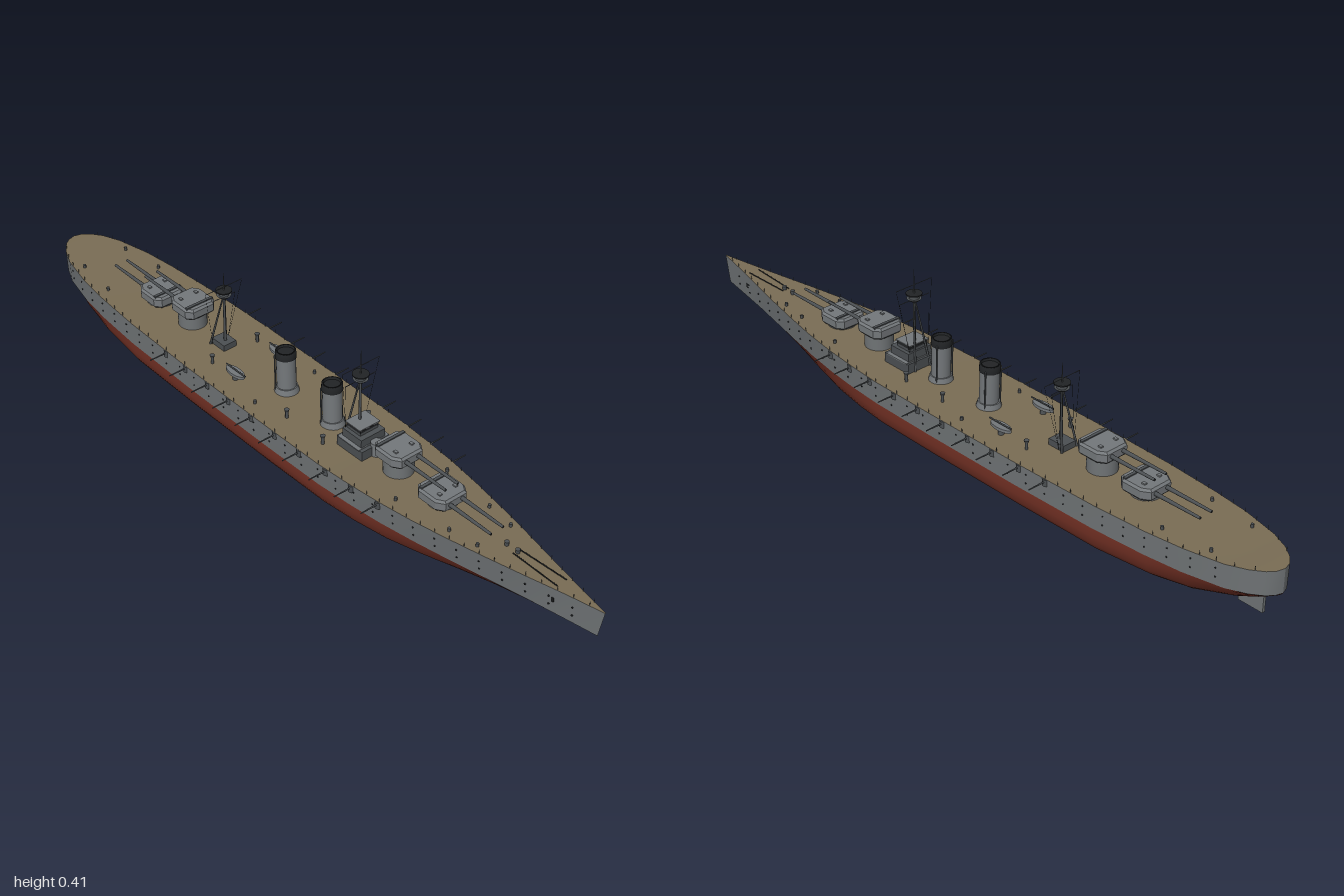
import * as THREE from 'three';

const mat = (name, color, side = THREE.FrontSide) => {
  const m = new THREE.MeshStandardMaterial({ color, side });
  m.name = name;
  return m;
};

// x, deck half width, waterline half width, deck height, keel height, bottom fullness
const STATIONS = [
  [-1, 0, 0, 0.15, 0.084, 0], [-0.994, 0.022, 0.02, 0.15, 0.078, 0.1], [-0.98, 0.04, 0.037, 0.15, 0.07, 0.2],
  [-0.95, 0.062, 0.059, 0.15, 0.056, 0.35], [-0.9, 0.084, 0.081, 0.149, 0.038, 0.5],
  [-0.8, 0.106, 0.104, 0.149, 0.015, 0.75], [-0.7, 0.118, 0.117, 0.148, 0.006, 0.9],
  [-0.55, 0.128, 0.128, 0.148, 0.003, 1], [-0.3, 0.134, 0.133, 0.148, 0.003, 1],
  [0, 0.134, 0.133, 0.148, 0.003, 1], [0.2, 0.132, 0.13, 0.148, 0.003, 1],
  [0.3, 0.126, 0.123, 0.149, 0.003, 0.95], [0.4, 0.117, 0.112, 0.15, 0.004, 0.85],
  [0.5, 0.103, 0.096, 0.151, 0.013, 0.7], [0.6, 0.085, 0.077, 0.153, 0.026, 0.5],
  [0.7, 0.065, 0.056, 0.155, 0.041, 0.32], [0.8, 0.043, 0.035, 0.157, 0.056, 0.16],
  [0.9, 0.021, 0.017, 0.16, 0.071, 0.05], [1, 0.001, 0.001, 0.162, 0.084, 0],
];
const WATER = 0.085;

// Linear lookup of one station column at x
function at(x, col) {
  const i = Math.max(1, STATIONS.findIndex((s) => s[0] >= x));
  const a = STATIONS[i - 1], b = STATIONS[i];
  return THREE.MathUtils.lerp(a[col], b[col], (x - a[0]) / (b[0] - a[0]));
}

// Skin through equal-length rows of points
function loft(rows) {
  const n = rows[0].length, idx = [];
  for (let i = 0; i < rows.length - 1; i++)
    for (let j = 0; j < n - 1; j++) {
      const a = i * n + j, b = a + 1, c = a + n;
      idx.push(a, b, c, b, c + 1, c);
    }
  const g = new THREE.BufferGeometry();
  g.setAttribute('position', new THREE.Float32BufferAttribute(rows.flat(2), 3));
  g.setIndex(idx);
  g.computeVertexNormals();
  return g;
}

export function createModel() {
  const root = new THREE.Group();
  root.name = 'battleship';
  const hullGrey = mat('hull grey', 0x707476);
  const hullRed = mat('antifouling red', 0x7a3427);
  const deckTan = mat('deck tan', 0x7a6d55);
  const turretGrey = mat('turret grey', 0x74787b);
  const darkGrey = mat('dark grey', 0x4c5053);
  const black = mat('black', 0x222426);

  const add = (name, geo, material, x = 0, y = 0, z = 0, parent = root) => {
    const m = new THREE.Mesh(geo, material);
    m.name = name;
    m.position.set(x, y, z);
    parent.add(m);
    return m;
  };
  const box = (name, w, h, d, material, x, y, z, p) => add(name, new THREE.BoxGeometry(w, h, d), material, x, y, z, p);
  const cyl = (name, rt, rb, h, material, x, y, z, p, seg = 20) =>
    add(name, new THREE.CylinderGeometry(rt, rb, h, seg), material, x, y, z, p);
  // Rod between two points, tapering from r0 to r1
  const rod = (name, a, b, r0, material, p = root, r1 = r0, seg = 8) => {
    const A = new THREE.Vector3(...a), B = new THREE.Vector3(...b), d = B.clone().sub(A);
    const m = cyl(name, r1, r0, d.length(), material, 0, 0, 0, p, seg);
    m.position.copy(A).add(B).multiplyScalar(0.5);
    m.quaternion.setFromUnitVectors(new THREE.Vector3(0, 1, 0), d.normalize());
    return m;
  };

  // Hull sides, raked slightly at the stem
  const rake = (x) => x - 0.014 * THREE.MathUtils.smoothstep(x, 0.85, 1);
  for (const s of [1, -1]) {
    add('hullSide', loft(STATIONS.map(([x, d, w, y]) => {
      const row = [[x, y, s * d], [rake(x), WATER, s * w]];
      return s > 0 ? row : row.reverse();
    })), hullGrey);
  }

  // Underwater hull: full amidships, V-shaped at the ends
  const BILGE = [[1, 0], [0.985, 0.3], [0.93, 0.6], [0.86, 0.78], [0.74, 0.93], [0.52, 1], [0, 1]];
  add('lowerHull', loft(STATIONS.map(([x, , w, , keel, full]) => {
    const half = BILGE.map(([bw, t]) => [
      rake(x), WATER + (keel - WATER) * t, w * THREE.MathUtils.lerp((1 - t) * 0.9 + 0.1 * bw, bw, full)]);
    return [...half, ...half.slice(0, -1).reverse().map(([a, b, c]) => [a, b, -c])];
  })), hullRed);

  // Deck
  add('deck', loft(STATIONS.map(([x, d, , y]) => [[x, y, -d], [x, y, 0], [x, y, d]])), deckTan);
  box('rudder', 0.07, 0.06, 0.008, hullGrey, -0.918, 0.037, 0);

  // Portholes, guard rail posts and rails along both sides
  for (const s of [1, -1]) {
    for (let x = -0.88; x < 0.93; x += 0.06) {
      for (const [y, f] of [[0.107, 0.35], [0.131, 0.72]]) {
        const z = THREE.MathUtils.lerp(at(x, 2), at(x, 1), f);
        const p = cyl('porthole', 0.0022, 0.0022, 0.003, black, x, y, s * z, root, 8);
        p.rotation.x = Math.PI / 2;
      }
    }
    for (let x = -0.96; x < 0.97; x += 0.04)
      cyl('railPost', 0.0007, 0.0007, 0.011, darkGrey, x, at(x, 3) + 0.005, s * (at(x, 1) - 0.002), root, 5);
    box('anchor', 0.006, 0.012, 0.004, black, 0.87, 0.125, s * 0.025);
    // Broadside guns in casemates
    for (const x of [-0.4, -0.315, -0.225, -0.14, -0.05, 0.04, 0.13, 0.225, 0.31, 0.395]) {
      const w = at(x, 1);
      cyl('casemate', 0.009, 0.009, 0.018, darkGrey, x, 0.138, s * (w - 0.005), root, 12);
      rod('casemateGun', [x, 0.14, s * w], [x, 0.14, s * (w + 0.05)], 0.0022, darkGrey, root, 0.0014);
    }
  }

  // Main turrets: dir +1 fires forward, -1 aft
  const plan = new THREE.Shape([[-0.044, -0.03], [-0.03, -0.042], [0.022, -0.042], [0.04, -0.03],
    [0.04, 0.03], [0.022, 0.042], [-0.03, 0.042], [-0.044, 0.03]].map((p) => new THREE.Vector2(...p)));
  const house = new THREE.ExtrudeGeometry(plan, {
    depth: 0.02, bevelEnabled: true, bevelThickness: 0.006, bevelSize: 0.005, bevelOffset: 0, bevelSegments: 1 });
  house.rotateX(-Math.PI / 2);
  for (const [x, base, dir] of [[0.49, 0.164, 1], [0.34, 0.196, 1], [-0.595, 0.162, -1], [-0.457, 0.196, -1]]) {
    const t = new THREE.Group();
    t.name = 'mainTurret';
    t.position.set(x, base, 0);
    t.rotation.y = dir > 0 ? 0 : Math.PI;
    root.add(t);
    const h = base - 0.145;
    cyl('barbette', 0.038, 0.038, h, hullGrey, 0, -h / 2, 0, t, 28);
    add('gunHouse', house, turretGrey, 0, 0, 0, t);
    box('rangefinder', 0.008, 0.006, 0.085, darkGrey, -0.03, 0.026, 0, t);
    for (const z of [-0.019, 0.019]) {
      rod('gunBarrel', [0.035, 0.012, z], [0.178, 0.012, z], 0.0055, darkGrey, t, 0.0035, 12);
      rod('muzzle', [0.177, 0.012, z], [0.1785, 0.012, z], 0.003, black, t);
      box('sightHood', 0.01, 0.005, 0.008, turretGrey, 0.015, 0.027, z * 1.3, t);
    }
  }

  // Two funnels with black tops
  for (const x of [-0.073, 0.102]) {
    const f = new THREE.Group();
    f.name = 'funnel';
    f.position.set(x, 0.148, 0);
    f.rotation.z = 0.03;
    root.add(f);
    cyl('funnelBase', 0.028, 0.032, 0.016, turretGrey, 0, 0.007, 0, f);
    cyl('funnelPipe', 0.025, 0.025, 0.1, turretGrey, 0, 0.05, 0, f);
    add('funnelCap', new THREE.LatheGeometry([[0.021, 0.1], [0.021, 0.119], [0.026, 0.119], [0.027, 0.1], [0.025, 0.1]]
      .reverse().map((p) => new THREE.Vector2(...p)), 24), black, 0, 0, 0, f);
    cyl('funnelMouth', 0.022, 0.022, 0.003, black, 0, 0.112, 0, f);
    for (const s of [1, -1]) rod('steamPipe', [-0.012, 0, s * 0.026], [-0.012, 0.108, s * 0.026], 0.002, darkGrey, f);
  }

  // Stepped bridge with window bands
  box('bridgeBase', 0.09, 0.028, 0.094, darkGrey, 0.217, 0.161, 0);
  box('bridgeMiddle', 0.068, 0.024, 0.076, darkGrey, 0.215, 0.186, 0);
  box('bridgeTop', 0.048, 0.018, 0.056, darkGrey, 0.21, 0.206, 0);
  box('bridgeWing', 0.074, 0.003, 0.098, turretGrey, 0.215, 0.175, 0);
  box('bridgeRoof', 0.054, 0.003, 0.064, turretGrey, 0.21, 0.216, 0);
  box('bridgeWindows', 0.05, 0.006, 0.058, black, 0.21, 0.209, 0);
  cyl('conningTower', 0.015, 0.015, 0.04, turretGrey, 0.262, 0.165, 0);

  // Tripod masts with spotting tops, yards and rigging
  const mast = (name, x, topY, tipY, yards) => {
    const g = new THREE.Group();
    g.name = name;
    root.add(g);
    rod('mastPole', [x, 0.148, 0], [x, topY, 0], 0.004, darkGrey, g, 0.003);
    for (const s of [1, -1]) rod('tripodLeg', [x - 0.03, 0.148, s * 0.025], [x, topY - 0.01, s * 0.002], 0.003, darkGrey, g, 0.002);
    cyl('topFloor', 0.019, 0.013, 0.006, darkGrey, x, topY - 0.009, 0, g);
    cyl('spottingTop', 0.013, 0.013, 0.016, darkGrey, x, topY, 0, g);
    cyl('topRoof', 0.021, 0.021, 0.003, black, x, topY + 0.007, 0, g);
    rod('topmast', [x, topY, 0], [x, tipY, 0], 0.0022, darkGrey, g, 0.0008);
    for (const [y, w] of yards) {
      rod('yard', [x, y, -w], [x, y, w], 0.0009, darkGrey, g);
      for (const s of [1, -1]) rod('rigging', [x, y, s * w], [x - 0.02, 0.152, s * 0.025], 0.0004, black, g, 0.0004, 4);
    }
  };
  mast('foremast', 0.2, 0.343, 0.417, [[0.374, 0.058], [0.334, 0.048]]);
  mast('mainmast', -0.32, 0.311, 0.37, [[0.328, 0.058], [0.298, 0.035]]);
  box('mainmastHouse', 0.05, 0.018, 0.04, darkGrey, -0.325, 0.156, 0);

  // Deck guns, vents, capstans and bollards
  for (const s of [1, -1]) {
    const tub = cyl('gunTub', 0.014, 0.014, 0.008, turretGrey, -0.19, 0.168, s * 0.07);
    tub.scale.x = 2.4;
    cyl('gunPedestal', 0.005, 0.008, 0.018, darkGrey, -0.19, 0.156, s * 0.07);
    rod('deckGun', [-0.225, 0.176, s * 0.07], [-0.15, 0.176, s * 0.07], 0.002, darkGrey);
    for (const x of [-0.28, 0.015, 0.15]) {
      cyl('vent', 0.004, 0.004, 0.02, darkGrey, x, 0.158, s * 0.073, root, 10);
      cyl('ventCowl', 0.007, 0.005, 0.006, darkGrey, x, 0.17, s * 0.073, root, 10);
    }
    for (const x of [-0.85, -0.72, -0.08, 0.42, 0.58, 0.66])
      cyl('bollard', 0.004, 0.004, 0.01, darkGrey, x, at(x, 3) + 0.004, s * at(x, 1) * 0.72, root, 10);
    rod('anchorChain', [0.73, 0.157, s * 0.01], [0.87, 0.16, s * 0.015], 0.0015, black);
  }
  for (const x of [0.7, 0.735]) cyl('capstan', 0.006, 0.005, 0.012, darkGrey, x, 0.16, 0);
  return root;
}
